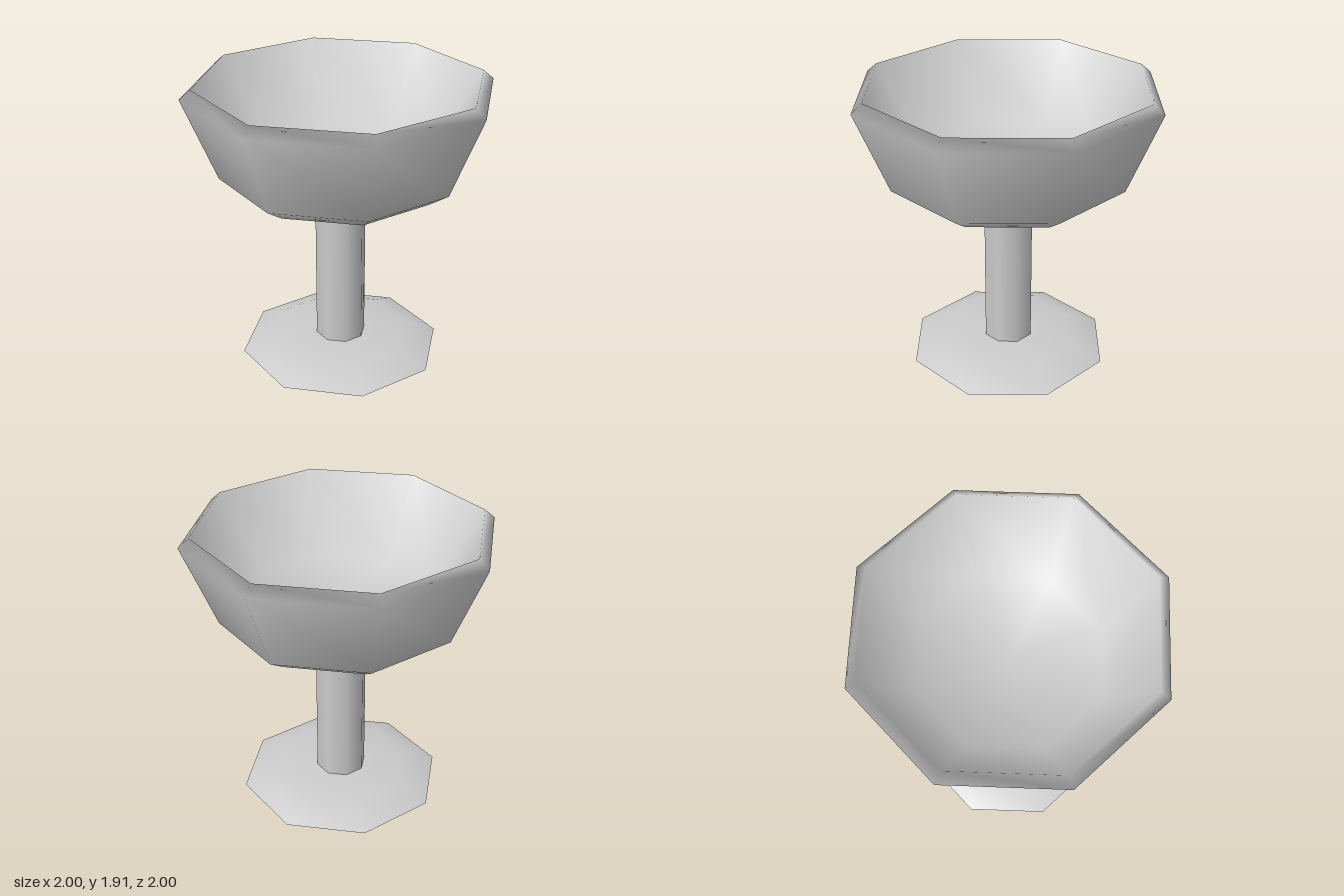
import * as THREE from 'three';

const SIDES = 8;
const material = new THREE.MeshStandardMaterial({ color: 0xcccccc });

// Eight-sided turned part; profile runs from the bottom, up the outside, then inwards.
// A point given twice keeps that edge sharp.
function turned(name, profile) {
  const points = profile.map(([r, y]) => new THREE.Vector2(r, y));
  const mesh = new THREE.Mesh(new THREE.LatheGeometry(points, SIDES), material);
  mesh.name = name;
  return mesh;
}

export function createModel() {
  const goblet = new THREE.Group();
  goblet.name = 'goblet';

  // Sloped foot with a shallow hollow underneath
  goblet.add(turned('foot', [
    [0, 0.05], [0.45, 0.05], [0.45, 0.05], [0.68, 0], [0.68, 0],
    [0.47, 0.09], [0.16, 0.09],
  ]));

  // Straight stem
  goblet.add(turned('stem', [[0.168, 0.08], [0.168, 1.23]]));

  // Bowl: underside, flared wall, bevelled rim, inner wall and floor
  goblet.add(turned('bowl', [
    [0, 1.22], [0.65, 1.22], [0.785, 1.31], [1, 1.85],
    [0.93, 1.91], [0.61, 1.4], [0, 1.4],
  ]));

  return goblet;
}
